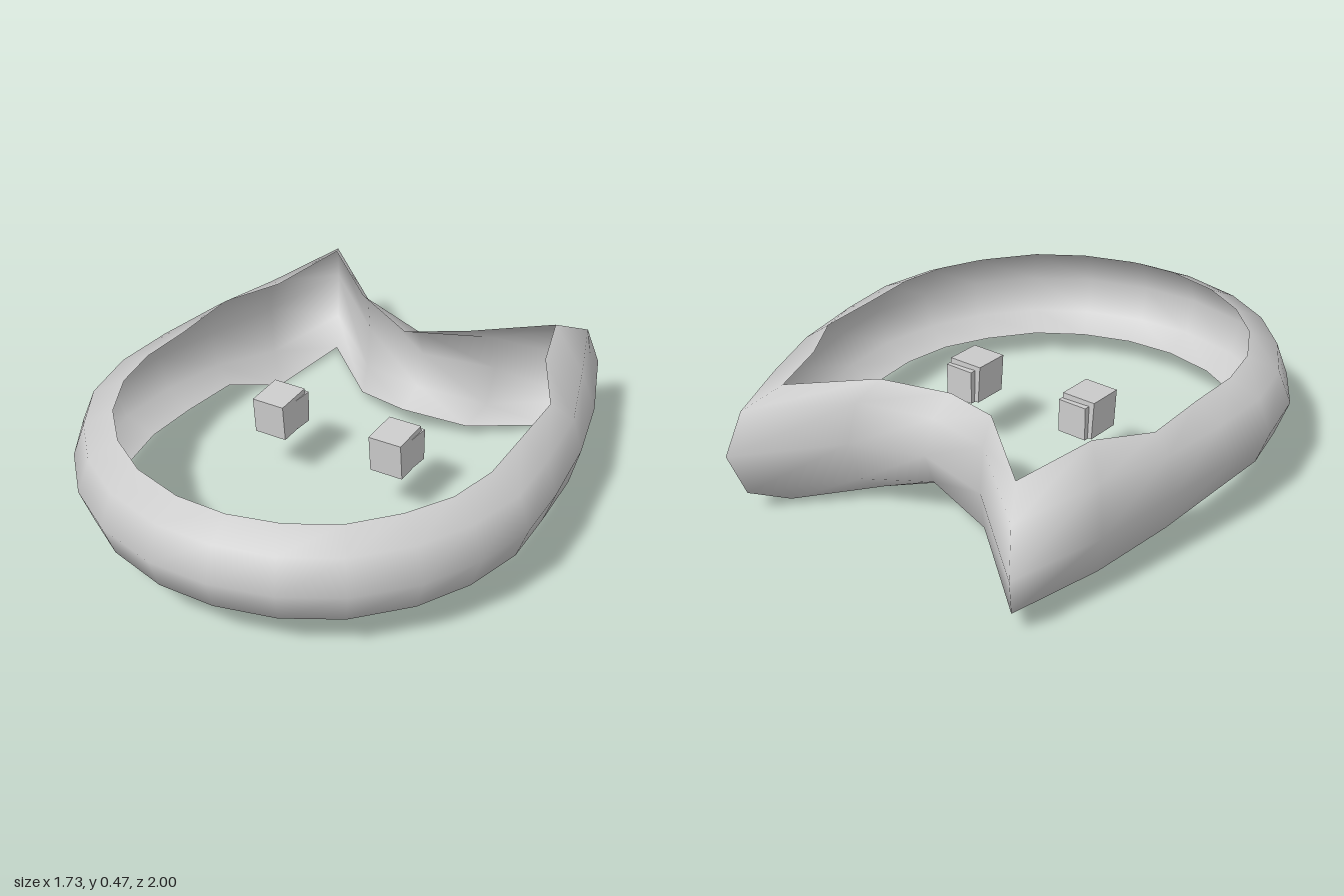
import * as THREE from 'three';

// Ring stations: outer x, outer z, lip x, lip z, then bottom and top of the lips
const LOW = 0.09, HIGH = 0.437;
const STATIONS = [
  [-0.72, -0.98, -0.6, -0.8, 0.015, 0.463], // ear tip
  [-0.785, -0.6, -0.625, -0.45, 0, 0.46],
  [-0.83, -0.28, -0.73, -0.25, 0.06, 0.44],
  [-0.865, 0, -0.71, 0.02],
  [-0.865, 0.25, -0.705, 0.23],
  [-0.8, 0.49, -0.66, 0.41],
  [-0.67, 0.68, -0.56, 0.58],
  [-0.5, 0.84, -0.42, 0.71],
  [-0.3, 0.945, -0.25, 0.8],
  [-0.05, 0.995, -0.05, 0.84],
  [0.17, 0.975, 0.14, 0.825],
  [0.39, 0.9, 0.32, 0.76],
  [0.58, 0.77, 0.48, 0.65],
  [0.735, 0.575, 0.6, 0.49],
  [0.82, 0.365, 0.68, 0.32],
  [0.86, 0.13, 0.705, 0.13],
  [0.83, -0.1, 0.68, -0.1],
  [0.76, -0.4, 0.655, -0.34, 0.06, 0.44],
  [0.65, -0.7, 0.505, -0.56, 0, 0.463],
  [0.5, -1, 0.41, -0.8, 0.015, 0.463], // ear tip
  [0.22, -0.7, 0.18, -0.57, 0.045, 0.467],
  [-0.05, -0.61, -0.04, -0.46, 0.095, 0.44],
  [-0.34, -0.665, -0.29, -0.545, 0.04, 0.475],
];

// Half-octagon channel, open to the inside, swept around the stations
function ringGeometry() {
  const steps = 4, row = steps + 1, n = STATIONS.length;
  const positions = [], index = [];
  STATIONS.forEach(([ox, oz, ix, iz, low = LOW, high = HIGH], i) => {
    for (let j = 0; j <= steps; j++) {
      const a = -Math.PI / 2 + (Math.PI * j) / steps;
      const out = Math.cos(a);
      positions.push(
        ix + (ox - ix) * out,
        (low + high) / 2 + ((high - low) / 2) * Math.sin(a),
        iz + (oz - iz) * out
      );
      if (j < steps) {
        const p = i * row + j, q = ((i + 1) % n) * row + j;
        index.push(p, q, q + 1, p, q + 1, p + 1);
      }
    }
  });
  const g = new THREE.BufferGeometry();
  g.setAttribute('position', new THREE.Float32BufferAttribute(positions, 3));
  g.setIndex(index);
  g.computeVertexNormals();
  return g;
}

export function createModel() {
  const model = new THREE.Group();

  const ring = new THREE.Mesh(
    ringGeometry(),
    new THREE.MeshStandardMaterial({ color: 0xcccccc, side: THREE.DoubleSide })
  );
  ring.name = 'earedHeadRing';
  model.add(ring);

  // Eyes: a cube with a second, slightly turned cube overlapping it
  const eyeMaterial = new THREE.MeshStandardMaterial({ color: 0xcccccc, flatShading: true });
  const addEye = (name, x, z, turn) => {
    const eye = new THREE.Group();
    eye.name = name;
    eye.position.set(x, 0.257, z);
    const block = new THREE.Mesh(new THREE.BoxGeometry(0.13, 0.14, 0.145), eyeMaterial);
    block.name = name + 'Block';
    block.rotation.set(0.05, turn, 0.03);
    block.position.z = 0.01;
    const core = new THREE.Mesh(new THREE.BoxGeometry(0.115, 0.125, 0.15), eyeMaterial);
    core.name = name + 'Core';
    core.position.set(0.006, -0.008, -0.005);
    eye.add(block, core);
    model.add(eye);
  };
  addEye('rightEye', -0.265, 0.005, 0.06);
  addEye('leftEye', 0.22, -0.035, 0.07);

  return model;
}
